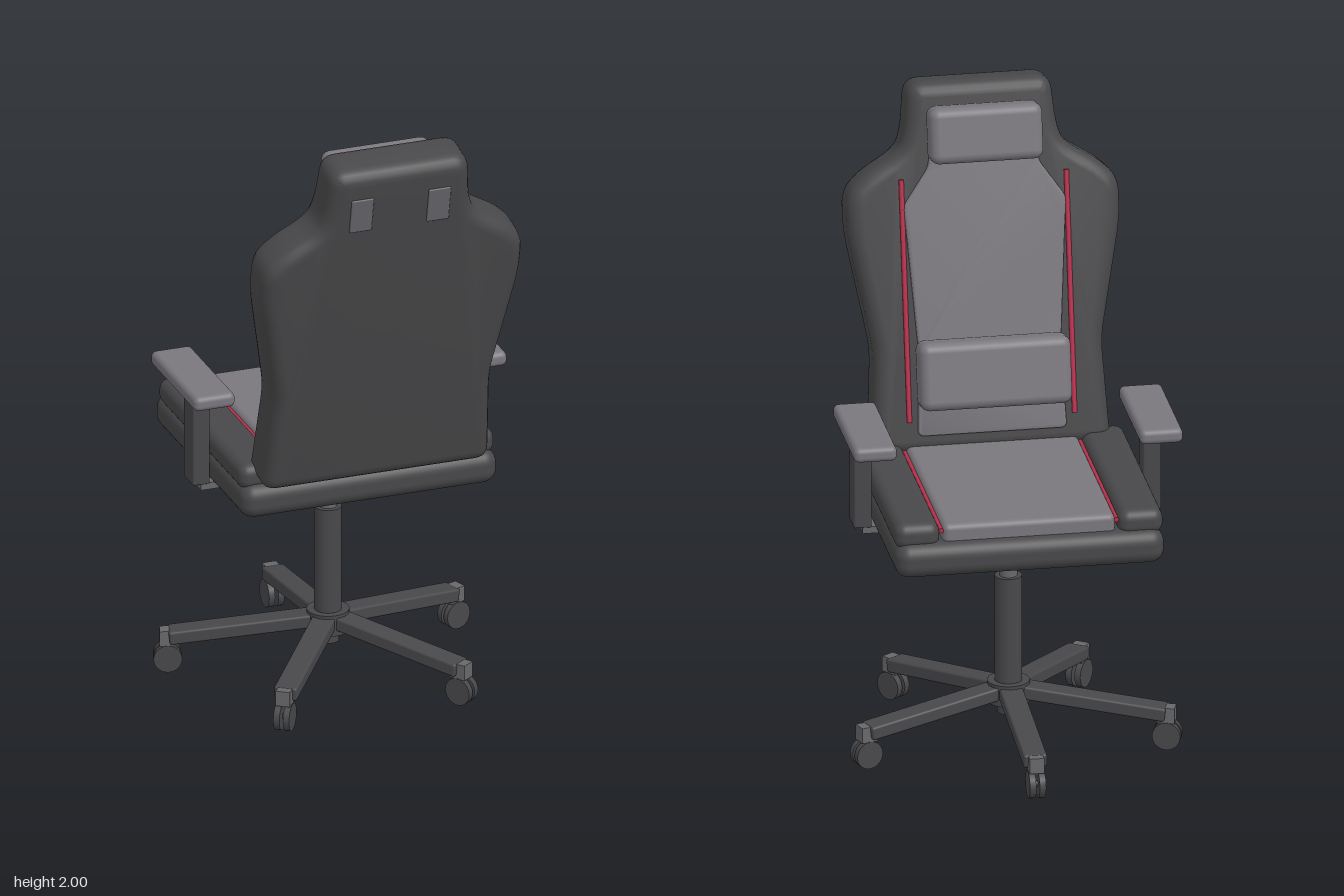
import * as THREE from 'three';
import { toCreasedNormals } from 'three/addons/utils/BufferGeometryUtils.js';
import { RoundedBoxGeometry } from 'three/addons/geometries/RoundedBoxGeometry.js';

const mat = (name, color) => {
  const m = new THREE.MeshStandardMaterial({ color });
  m.name = name;
  return m;
};

// Closed symmetric outline from right-hand points [x, y], bottom to top, with rounded corners
function mirroredOutline(right, radius) {
  const pts = [...right, ...right.map(([x, y]) => [-x, y]).reverse()].map(([x, y]) => new THREE.Vector2(x, y));
  const shape = new THREE.Shape();
  pts.forEach((p, i) => {
    const prev = pts[(i + pts.length - 1) % pts.length];
    const next = pts[(i + 1) % pts.length];
    const toward = (q) => p.clone().lerp(q, Math.min(0.45, radius / p.distanceTo(q)));
    const a = toward(prev), b = toward(next);
    if (i === 0) shape.moveTo(a.x, a.y); else shape.lineTo(a.x, a.y);
    shape.quadraticCurveTo(p.x, p.y, b.x, b.y);
  });
  shape.closePath();
  return shape;
}

// Padded slab of the given thickness, centred on z = 0
function padded(shape, thickness, bevel) {
  const geo = new THREE.ExtrudeGeometry(shape, {
    depth: thickness - 2 * bevel, bevelThickness: bevel, bevelSize: bevel,
    bevelOffset: -bevel, bevelSegments: 5, curveSegments: 6,
  });
  geo.translate(0, 0, bevel - thickness / 2);
  return toCreasedNormals(geo, 0.6);
}

export function createModel() {
  const leather = mat('dark leather', 0x48484a);
  const fabric = mat('grey fabric', 0x7a777d);
  const frame = mat('dark frame', 0x48484b);
  const metal = mat('grey metal', 0x68676b);
  const red = mat('red piping', 0xb8304c);

  const chair = new THREE.Group();
  chair.name = 'chair';
  const add = (parent, name, geo, material, x = 0, y = 0, z = 0) => {
    const mesh = new THREE.Mesh(geo, material);
    mesh.name = name;
    mesh.position.set(x, y, z);
    parent.add(mesh);
    return mesh;
  };
  const group = (parent, name, x = 0, y = 0, z = 0) => {
    const g = new THREE.Group();
    g.name = name;
    g.position.set(x, y, z);
    parent.add(g);
    return g;
  };
  const soft = (w, h, d, r) => new RoundedBoxGeometry(w, h, d, 4, r);
  const box = (w, h, d) => new THREE.BoxGeometry(w, h, d);
  const rod = (r, h, n = 24) => new THREE.CylinderGeometry(r, r, h, n);

  // Five-legged base
  const base = group(chair, 'base', 0, 0, -0.065);
  add(base, 'hub', rod(0.067, 0.07), frame, 0, 0.165, 0);
  add(base, 'hubUnderside', rod(0.035, 0.05), frame, 0, 0.118, 0);
  add(base, 'columnSleeve', rod(0.043, 0.36), frame, 0, 0.37, 0);
  add(base, 'gasPiston', rod(0.028, 0.13), metal, 0, 0.605, 0);
  for (let i = 0; i < 5; i++) {
    const arm = group(base, 'legAndCaster');
    arm.rotation.y = Math.PI + (i * Math.PI * 2) / 5;
    const leg = add(arm, 'leg', soft(0.074, 0.044, 0.48, 0.008), frame, 0, 0.145, 0.258);
    leg.rotation.x = 0.115;
    add(arm, 'casterBracket', box(0.046, 0.05, 0.055), metal, 0, 0.113, 0.498);
    add(arm, 'casterAxle', rod(0.01, 0.04, 12), frame, 0, 0.045, 0.5).rotation.z = Math.PI / 2;
    for (const s of [-1, 1])
      add(arm, 'casterWheel', rod(0.045, 0.02, 20), frame, s * 0.0155, 0.045, 0.5).rotation.z = Math.PI / 2;
  }

  // Tilt mechanism and lever
  add(chair, 'mechanismPlate', box(0.388, 0.055, 0.355), metal, 0, 0.69, -0.068);
  add(chair, 'heightLever', rod(0.011, 0.2, 12), frame, 0.25, 0.683, -0.157).rotation.z = Math.PI / 2;

  // Seat
  const seat = group(chair, 'seat');
  add(seat, 'seatBase', soft(0.85, 0.112, 0.815, 0.045), leather, 0, 0.774, -0.08);
  add(seat, 'seatCushion', soft(0.545, 0.09, 0.72, 0.02), fabric, 0, 0.837, -0.088);
  for (const s of [-1, 1]) {
    add(seat, 'seatBolster', soft(0.142, 0.085, 0.755, 0.034), leather, s * 0.353, 0.849, -0.08);
    add(seat, 'seatPiping', rod(0.008, 0.7, 10), red, s * 0.277, 0.862, -0.09).rotation.x = Math.PI / 2;
  }

  // Armrests
  for (const s of [-1, 1]) {
    const arm = group(chair, 'armrest');
    add(arm, 'armBracket', box(0.18, 0.022, 0.075), metal, s * 0.367, 0.721, -0.008);
    add(arm, 'armPost', soft(0.057, 0.31, 0.085, 0.006), frame, s * 0.457, 0.885, -0.008);
    add(arm, 'armPad', soft(0.136, 0.048, 0.405, 0.018), fabric, s * 0.452, 1.054, -0.057);
  }

  // Reclined backrest
  const back = group(chair, 'backrest', 0, 0.84, 0.295);
  back.rotation.x = 0.2;
  const backShape = mirroredOutline([
    [0.378, 0], [0.36, 0.33], [0.43, 0.7], [0.432, 0.83], [0.375, 0.89],
    [0.262, 0.957], [0.24, 1.02], [0.226, 1.175],
  ], 0.05);
  add(back, 'backShell', padded(backShape, 0.164, 0.045), leather);
  const insertShape = mirroredOutline([
    [0.235, 0.06], [0.225, 0.33], [0.25, 0.7], [0.258, 0.79], [0.175, 0.91], [0.165, 1.0],
  ], 0.02);
  add(back, 'backInsert', padded(insertShape, 0.03, 0.008), fabric, 0, 0, -0.078);
  for (const s of [-1, 1]) {
    add(back, 'backPiping', rod(0.008, 0.77, 10), red, s * 0.261, 0.49, -0.084);
    add(back, 'headrestStrap', soft(0.074, 0.12, 0.009, 0.004), metal, s * 0.128, 1.022, 0.083);
  }
  add(back, 'lumbarPillow', soft(0.48, 0.215, 0.112, 0.03), fabric, 0, 0.262, -0.15);
  add(back, 'headPillow', soft(0.358, 0.178, 0.1, 0.03), fabric, 0, 1.018, -0.133);

  return chair;
}
